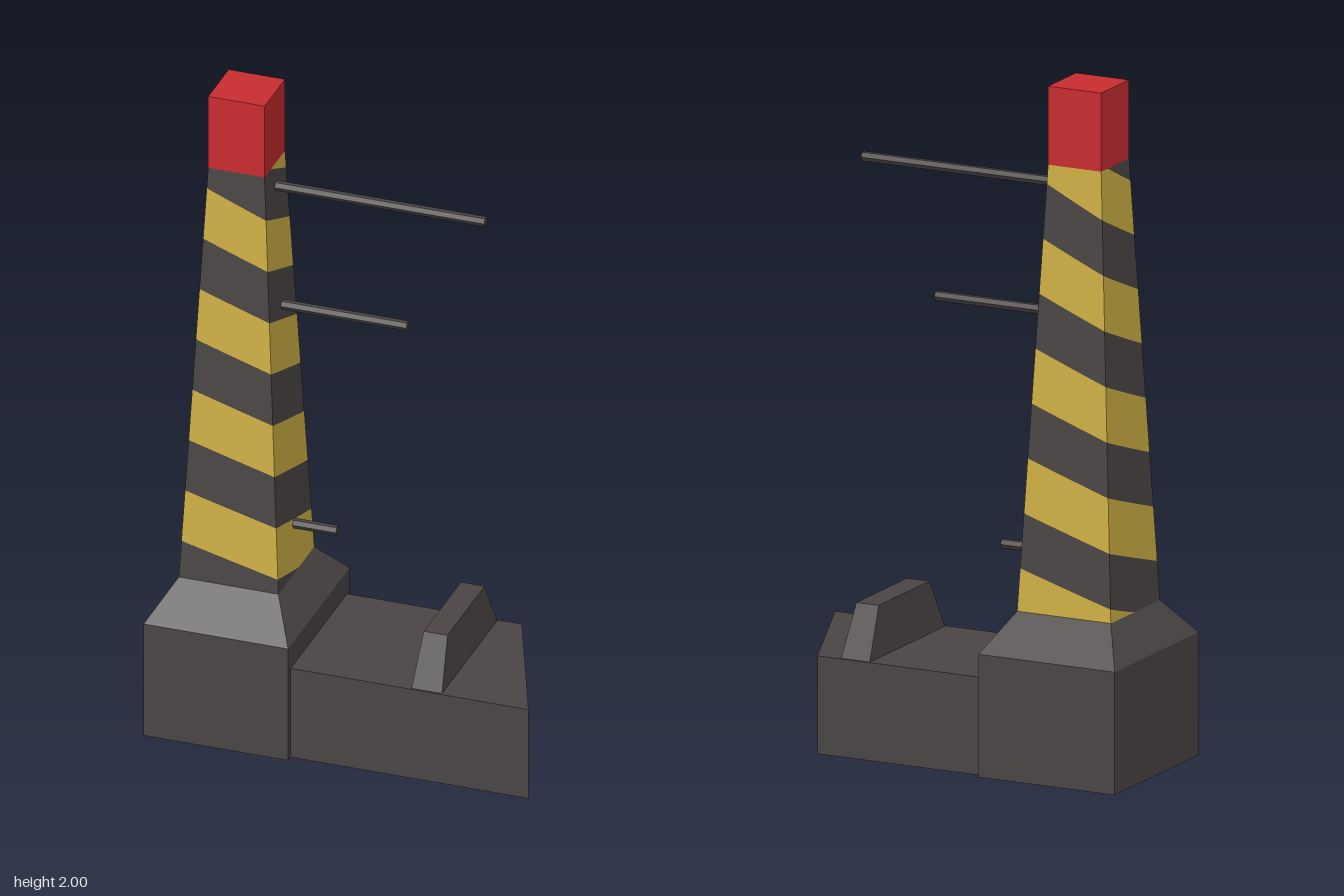
import * as THREE from 'three';

const material = (name, color) => {
  const m = new THREE.MeshStandardMaterial({ color });
  m.name = name;
  return m;
};

// Box from y0 to y1, tapering from half sizes [x, z] at the bottom to the top
function frustum(y0, y1, bottom, top = bottom) {
  const g = new THREE.BoxGeometry(2, 1, 2);
  const p = g.attributes.position;
  for (let i = 0; i < p.count; i++) {
    const up = p.getY(i) > 0;
    const half = up ? top : bottom;
    p.setXYZ(i, p.getX(i) * half[0], up ? y1 : y0, p.getZ(i) * half[1]);
  }
  g.computeVertexNormals();
  return g;
}

const TOWER_X = -0.36;
const Y0 = 0.47, Y1 = 1.77;
const PERIOD = 0.32;
const towerHalf = (y) => THREE.MathUtils.lerp(0.15, 0.085, (y - Y0) / (Y1 - Y0));

// One colour of the stripes spiralling down around the four tapered faces
function spiralStripes(offset) {
  const corners = [[-1, 1], [1, 1], [1, -1], [-1, -1], [-1, 1]];
  const drops = [0, 0.07, 0.15, 0.235, PERIOD];
  const columns = 16;
  const points = [];
  for (let f = 0; f < 4; f++) {
    const point = (s, y) => {
      const h = towerHalf(y);
      return [
        THREE.MathUtils.lerp(corners[f][0], corners[f + 1][0], s) * h, y,
        THREE.MathUtils.lerp(corners[f][1], corners[f + 1][1], s) * h,
      ];
    };
    for (let band = -2; band < 6; band++) {
      for (let c = 0; c < columns; c++) {
        const [s0, s1] = [c / columns, (c + 1) / columns];
        const edge = (s, shift) => THREE.MathUtils.clamp(
          1.705 - band * PERIOD - offset - shift - THREE.MathUtils.lerp(drops[f], drops[f + 1], s), Y0, Y1);
        const [t0, t1] = [edge(s0, 0), edge(s1, 0)];
        const [b0, b1] = [edge(s0, PERIOD / 2), edge(s1, PERIOD / 2)];
        if (t1 > b1) points.push(...point(s0, b0), ...point(s1, b1), ...point(s1, t1));
        if (t0 > b0) points.push(...point(s0, b0), ...point(s1, t1), ...point(s0, t0));
      }
    }
  }
  const g = new THREE.BufferGeometry();
  g.setAttribute('position', new THREE.Float32BufferAttribute(points, 3));
  g.computeVertexNormals();
  return g;
}

export function createModel() {
  const model = new THREE.Group();
  model.name = 'stripedTower';
  const dark = material('charcoal', 0x4b4645);
  const yellow = material('warningYellow', 0xcfb045);
  const red = material('beaconRed', 0xcc2d30);

  const add = (name, geometry, mat, x = 0, y = 0, z = 0) => {
    const mesh = new THREE.Mesh(geometry, mat);
    mesh.name = name;
    mesh.position.set(x, y, z);
    model.add(mesh);
    return mesh;
  };

  // Square base with sloped shoulders
  add('base', frustum(0, 0.36, [0.218, 0.256]), dark, TOWER_X);
  add('baseShoulder', frustum(0.36, Y0, [0.218, 0.256], [0.15, 0.15]), dark, TOWER_X);

  // Tapered striped shaft and red cap
  add('yellowStripes', spiralStripes(0), yellow, TOWER_X);
  add('darkStripes', spiralStripes(PERIOD / 2), dark, TOWER_X);
  add('cap', frustum(Y1, 2, [0.085, 0.085]), red, TOWER_X);

  // Low side block with a slanted end
  const block = new THREE.Shape([[-0.142, 0.235], [0.385, 0.235], [0.575, -0.235], [-0.142, -0.235]]
    .map(([x, y]) => new THREE.Vector2(x, y)).reverse());
  const blockGeometry = new THREE.ExtrudeGeometry(block, { depth: 0.287, bevelEnabled: false });
  blockGeometry.rotateX(-Math.PI / 2);
  add('sideBlock', blockGeometry, dark);

  // Ridge across the side block
  add('ridge', frustum(0.285, 0.435, [0.046, 0.23], [0.036, 0.155]), dark, 0.266);

  // Hexagonal rods, each reaching out from inside the shaft
  for (const [y, end] of [[1.7, 0.36], [1.32, 0.125], [0.62, -0.087]]) {
    const start = TOWER_X + towerHalf(y) - 0.02;
    const rod = new THREE.CylinderGeometry(0.0148, 0.0148, end - start, 6).toNonIndexed();
    rod.rotateZ(-Math.PI / 2);
    rod.computeVertexNormals();
    add('rod', rod, dark, (start + end) / 2, y, -0.003);
  }
  return model;
}
